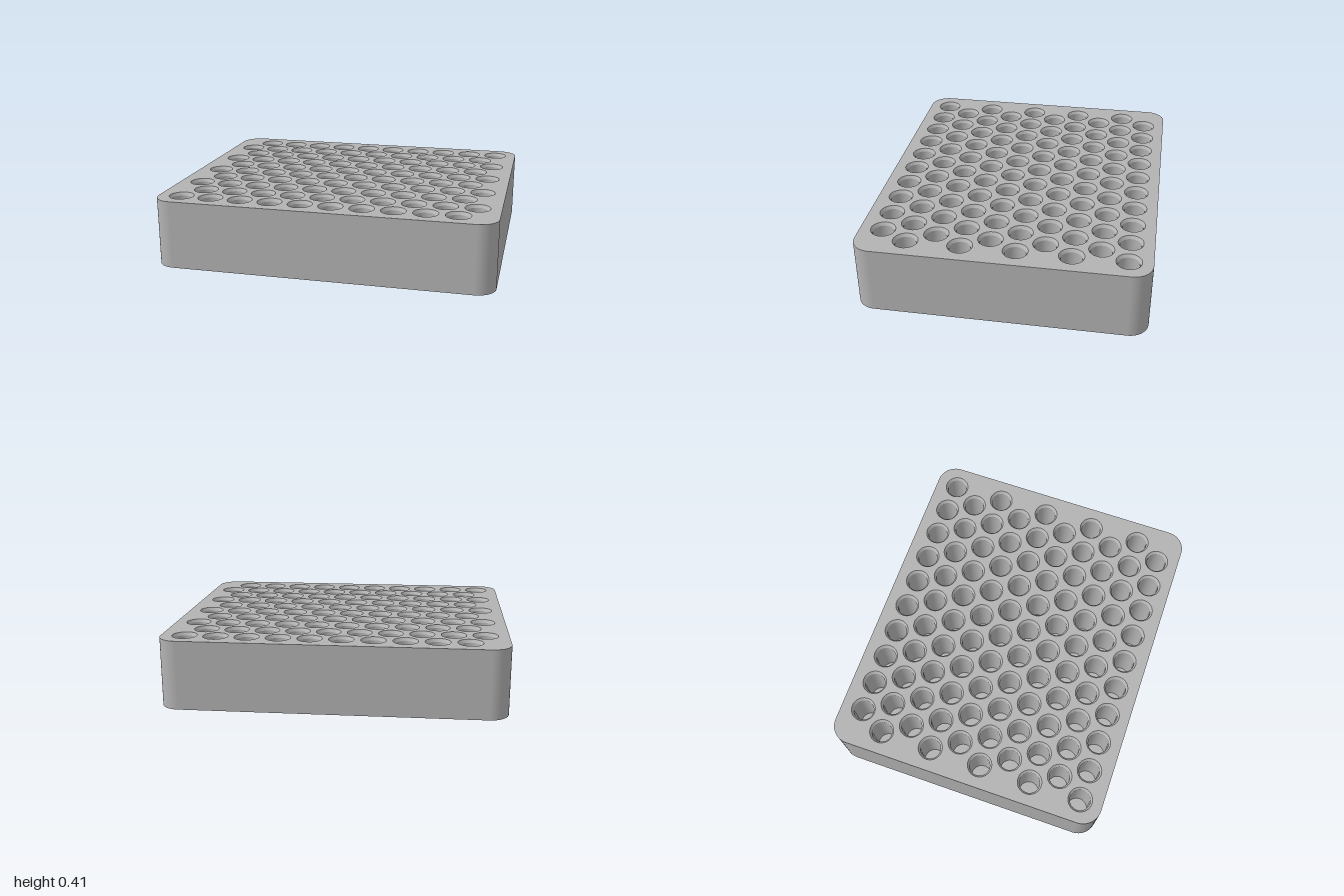
import * as THREE from 'three';
import { mergeGeometries } from 'three/addons/utils/BufferGeometryUtils.js';

const W = 1, D = 0.845, H = 0.407, CORNER = 0.115; // half width, half depth, height, corner radius
const PITCH = 0.1818, ROW = 0.1575, COUNT = 10;    // staggered hole grid
const RIM = 0.073, BORE = 0.061, CHAMFER = 0.018, FLOOR = 0.1, SEG = 40;

// Rounded rectangle with its outward normals, counter-clockwise in (x, -z)
function outline(steps = 14) {
  const points = [], normals = [];
  [[1, 1], [-1, 1], [-1, -1], [1, -1]].forEach(([sx, sy], q) => {
    for (let i = 0; i <= steps; i++) {
      const a = (q + i / steps) * Math.PI / 2;
      const n = new THREE.Vector2(Math.cos(a), Math.sin(a));
      normals.push(n);
      points.push(new THREE.Vector2(sx * (W - CORNER), sy * (D - CORNER)).addScaledVector(n, CORNER));
    }
  });
  return { points, normals };
}

function holeCentres() {
  const list = [];
  for (let r = 0; r < COUNT; r++) {
    const start = r % 2 ? -0.864 : -0.773;
    for (let c = 0; c < COUNT; c++) list.push([start + c * PITCH, (r - (COUNT - 1) / 2) * ROW]);
  }
  return list;
}

// Smooth vertical wall following the outline
function wallGeometry({ points, normals }) {
  const pos = [], nor = [], index = [];
  const n = points.length;
  for (let i = 0; i <= n; i++) {
    const p = points[i % n], m = normals[i % n];
    pos.push(p.x, 0, -p.y, p.x, H, -p.y);
    nor.push(m.x, 0, -m.y, m.x, 0, -m.y);
    if (i < n) {
      const a = i * 2;
      index.push(a, a + 2, a + 3, a, a + 3, a + 1);
    }
  }
  const g = new THREE.BufferGeometry();
  g.setAttribute('position', new THREE.Float32BufferAttribute(pos, 3));
  g.setAttribute('normal', new THREE.Float32BufferAttribute(nor, 3));
  g.setIndex(index);
  return g;
}

// Inward-facing surface of revolution, profile running from top to bottom
const ring = (r1, y1, r2, y2) =>
  new THREE.LatheGeometry([new THREE.Vector2(r1, y1), new THREE.Vector2(r2, y2)], SEG);

export function createModel() {
  const group = new THREE.Group();
  const grey = new THREE.MeshStandardMaterial({ color: 0xb3b3b3 });
  grey.name = 'grey';
  const add = (name, geometry) => {
    const mesh = new THREE.Mesh(geometry, grey);
    mesh.name = name;
    group.add(mesh);
  };

  const rim = outline();
  const centres = holeCentres();

  // Block: outer wall, underside and perforated top
  add('outerWall', wallGeometry(rim));
  add('underside', new THREE.ShapeGeometry(new THREE.Shape(rim.points)).rotateX(Math.PI / 2));

  const top = new THREE.Shape(rim.points);
  for (const [x, z] of centres) {
    const circle = [];
    for (let i = 0; i < SEG; i++) {
      const a = (i / SEG) * Math.PI * 2;
      circle.push(new THREE.Vector2(x + RIM * Math.sin(a), -z - RIM * Math.cos(a)));
    }
    top.holes.push(new THREE.Path(circle));
  }
  add('topFace', new THREE.ShapeGeometry(top).rotateX(-Math.PI / 2).translate(0, H, 0));

  // Blind holes: chamfered mouth, straight bore and flat floor
  const repeat = (g) => mergeGeometries(centres.map(([x, z]) => g.clone().translate(x, 0, z)));
  add('holeChamfers', repeat(ring(RIM, H, BORE, H - CHAMFER)));
  add('holeBores', repeat(ring(BORE, H - CHAMFER, BORE, FLOOR)));
  add('holeFloors', repeat(new THREE.CircleGeometry(BORE, SEG).rotateX(-Math.PI / 2).translate(0, FLOOR, 0)));

  return group;
}
